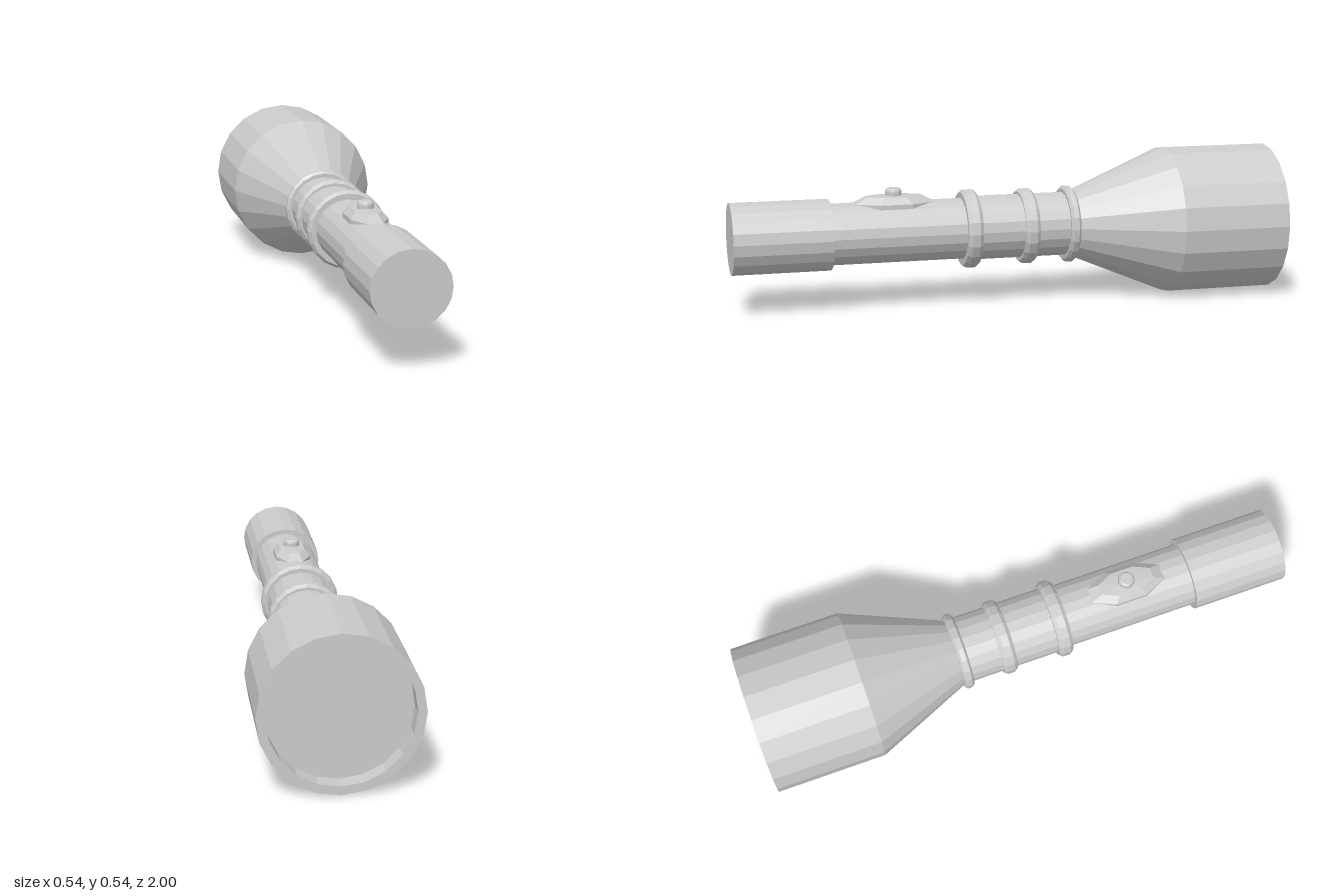
import * as THREE from 'three';

const AXIS_Y = 0.27;
const SIDES = 20;

export function createModel() {
  const group = new THREE.Group();
  const material = new THREE.MeshStandardMaterial({ color: 0xcccccc, flatShading: true });

  const add = (name, geometry, x = 0, y = 0, z = 0) => {
    const mesh = new THREE.Mesh(geometry, material);
    mesh.name = name;
    mesh.position.set(x, y, z);
    group.add(mesh);
    return mesh;
  };
  const lathe = (points, sides) =>
    new THREE.LatheGeometry(points.map(([r, h]) => new THREE.Vector2(r, h)), sides);
  // Turned part lying along z; points are [radius, z] running from back to front
  const turned = (name, points, squash = 1) =>
    add(name, lathe(points, SIDES).rotateX(Math.PI / 2).scale(1, squash, 1), 0, AXIS_Y + (squash < 1 ? 0.002 : 0), 0);

  // Lamp head with a recessed lens and a flared neck
  turned('lampHead', [
    [0, -0.94], [0.24, -0.94], [0.24, -1], [0.27, -1], [0.27, -0.6], [0.122, -0.245], [0, -0.245],
  ]);

  // Barrel sections and grip, slightly flattened
  const tube = (name, r, back, front) =>
    turned(name, [[0, back], [r, back], [r, front], [0, front]], 0.95);
  tube('collarTube', 0.122, -0.25, 0.15);
  tube('switchTube', 0.116, 0.14, 0.66);
  tube('endGrip', 0.135, 0.65, 1);

  // Chamfered rings around the barrel
  const rings = [[0.143, 0.142, 0.054], [0.138, -0.07, 0.053], [0.141, -0.23, 0.036]];
  for (const [r, z, width] of rings) {
    const h = width / 2;
    turned('barrelRing', [
      [0.105, z - h], [r - 0.01, z - h], [r, z - h * 0.5],
      [r, z + h * 0.5], [r - 0.01, z + h], [0.105, z + h],
    ]);
  }

  // Raised eight-sided switch pad
  const pad = lathe([[1, 0.34], [1, 0.379], [0.7, 0.402], [0, 0.408]], 8);
  pad.rotateY(Math.PI / 8).scale(0.071, 1, 0.153);
  add('switchPad', pad, 0, 0, 0.416);

  // Push button
  add('switchButton', lathe([
    [0.03, 0.39], [0.03, 0.418], [0.028, 0.425], [0.022, 0.43], [0, 0.43],
  ], 12), 0, 0, 0.416);

  return group;
}
